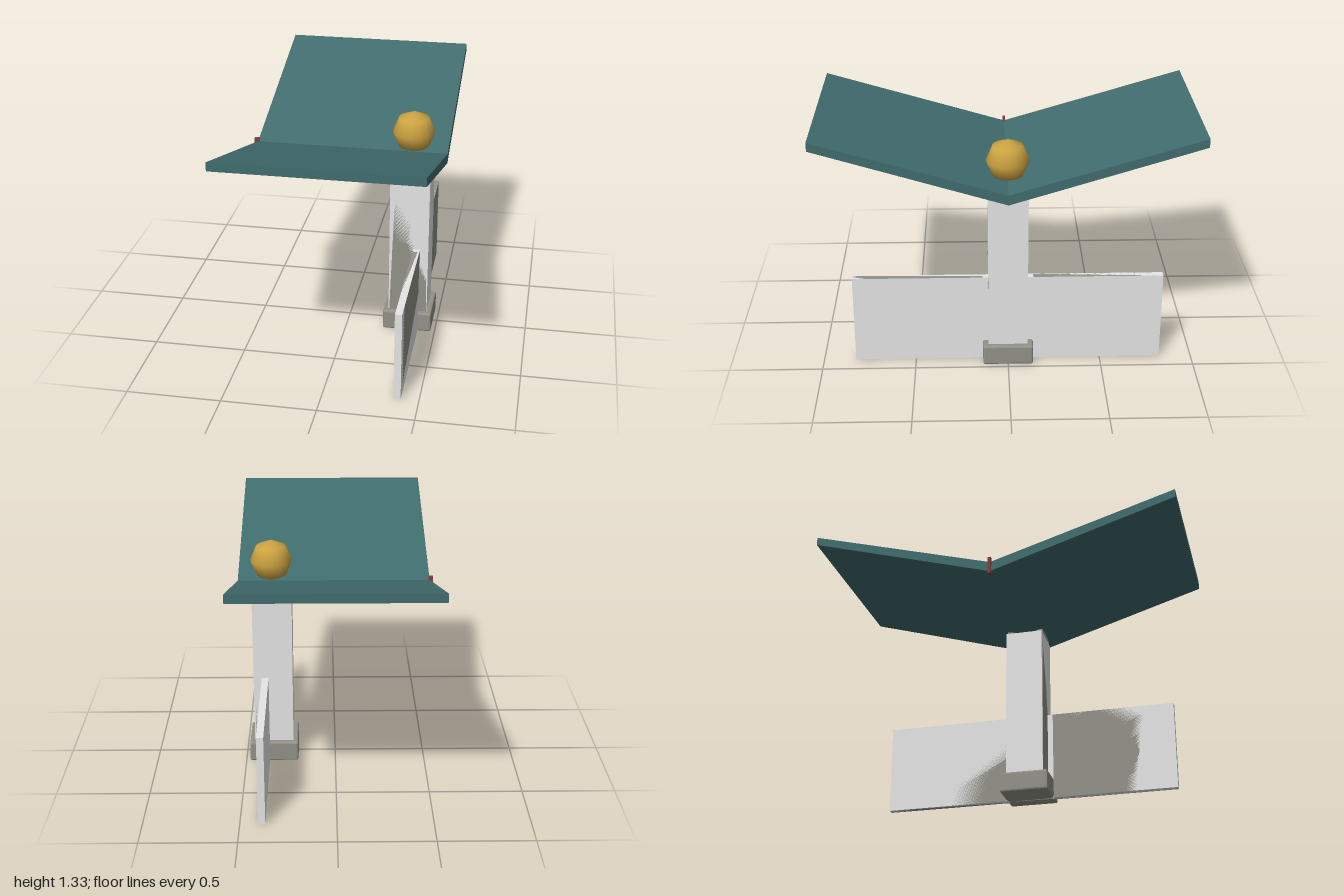
import * as THREE from 'three';
import { RoundedBoxGeometry } from 'three/addons/geometries/RoundedBoxGeometry.js';

const mat = (name, color) => {
  const m = new THREE.MeshStandardMaterial({ color });
  m.name = name;
  return m;
};

export function createModel() {
  const teal = mat('teal roof', 0x416d6f);
  const pale = mat('pale concrete', 0xe6e6e6);
  const grey = mat('warm grey concrete', 0x929289);
  const gold = mat('gold', 0xcca341);
  const red = mat('dark red', 0x843f3b);

  const group = new THREE.Group();
  const add = (name, geometry, material, x = 0, y = 0, z = 0) => {
    const mesh = new THREE.Mesh(geometry, material);
    mesh.name = name;
    mesh.position.set(x, y, z);
    group.add(mesh);
    return mesh;
  };
  const shape = (points) => new THREE.Shape(points.map(([x, y]) => new THREE.Vector2(x, y)));
  const extrude = (points, depth) =>
    new THREE.ExtrudeGeometry(shape(points), { depth, bevelEnabled: false });

  // V-shaped butterfly roof, extruded along x
  const roof = extrude(
    [[-1, 1.28], [0, 0.975], [1, 1.28], [1, 1.326], [0, 1.03], [-1, 1.326]], 1.041);
  roof.rotateY(Math.PI / 2);
  add('butterflyRoof', roof, teal, -0.513);

  // Straight pale post sharing its front and back planes with a tapered grey core
  add('post', new THREE.BoxGeometry(0.215, 0.875, 0.21), pale, 0.343, 0.5375, 0);
  const core = extrude([[0.24, 0.1], [0.447, 0.1], [0.425, 1], [0.268, 1]], 0.21);
  add('taperedPostCore', core, grey, 0, 0, -0.105);

  // Chamfered footing
  const base = new RoundedBoxGeometry(0.27, 0.113, 0.27, 1, 0.01);
  base.computeVertexNormals();
  add('footing', base, grey, 0.343, 0.0565, 0);

  // Thin low wall: pale through the post, with a grey leaf in the same plane on each side
  add('lowWall', new THREE.BoxGeometry(0.037, 0.497, 1.654), pale, 0.387, 0.2485, 0);
  for (const side of [-1, 1]) {
    add('lowWallLeaf', new THREE.BoxGeometry(0.037, 0.497, 0.692), grey, 0.387, 0.2485, side * 0.481);
  }

  // Ball resting in the valley of the roof
  add('ball', new THREE.SphereGeometry(0.114, 16, 4), gold, 0.345, 1.148, 0);

  // Small spout at the end of the valley
  add('drainSpout', new THREE.BoxGeometry(0.024, 0.096, 0.016), red, -0.518, 1.004, 0);

  return group;
}
